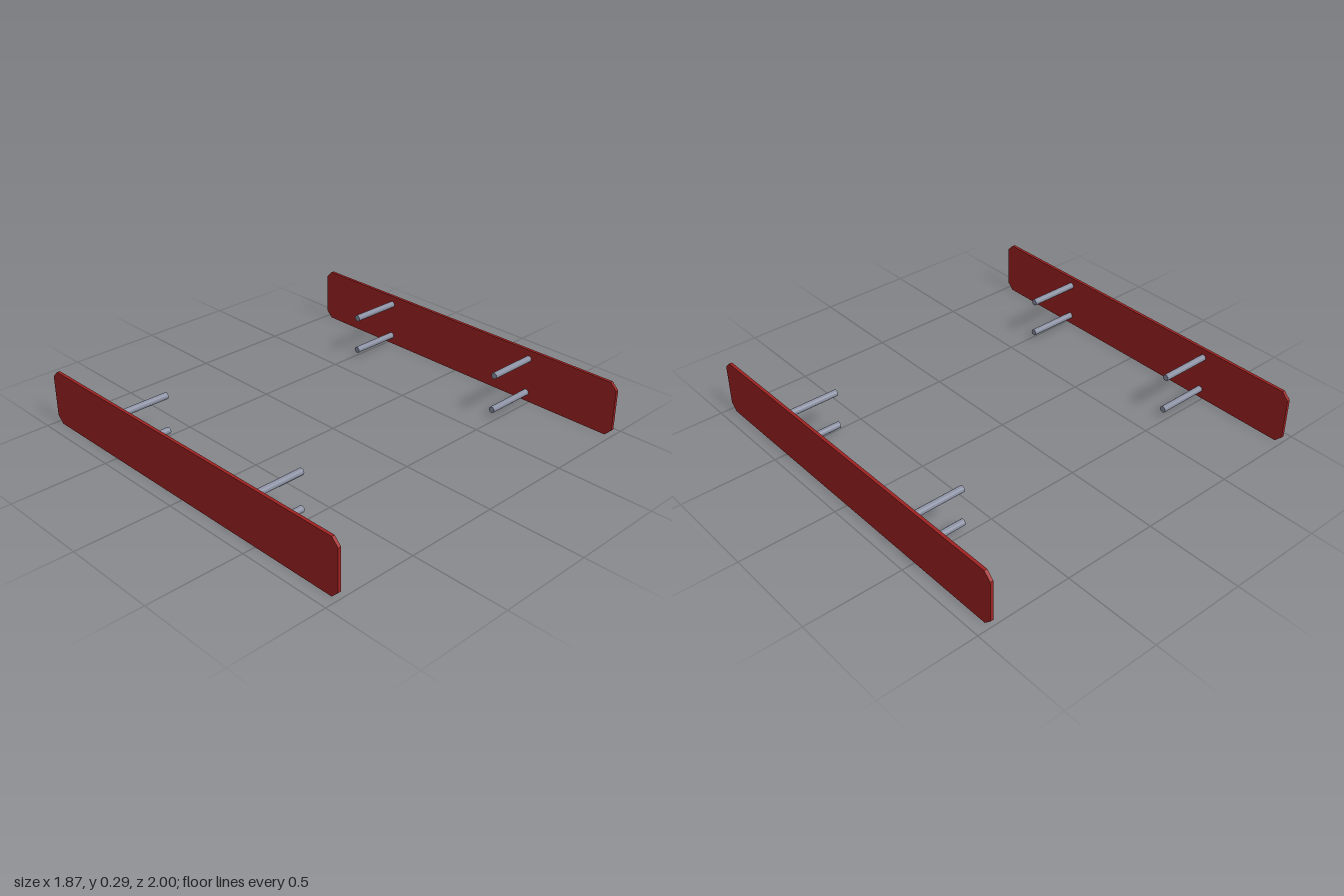
import * as THREE from 'three';

const PANEL = { length: 2, height: 0.287, chamfer: 0.036, inner: 0.917, thickness: 0.016 };
const ROD = { radius: 0.017, tip: 0.642, z: 0.476, y: 0.095 };

// Long plate with clipped corners, lying in the YZ plane
function panelGeometry() {
  const { length, height: h, chamfer: c, thickness } = PANEL;
  const a = length / 2;
  const shape = new THREE.Shape([
    [-a + c, 0], [a - c, 0], [a, c], [a, h - c],
    [a - c, h], [-a + c, h], [-a, h - c], [-a, c],
  ].map(([x, y]) => new THREE.Vector2(x, y)));
  const geometry = new THREE.ExtrudeGeometry(shape, { depth: thickness, bevelEnabled: false });
  geometry.translate(0, 0, -thickness / 2);
  geometry.rotateY(Math.PI / 2);
  return geometry;
}

export function createModel() {
  const model = new THREE.Group();
  const red = new THREE.MeshStandardMaterial({ color: 0xa02222 });
  const steel = new THREE.MeshStandardMaterial({ color: 0x8a90a2, flatShading: true });

  const panelGeo = panelGeometry();
  const rodLength = PANEL.inner - ROD.tip;
  const rodGeo = new THREE.CylinderGeometry(ROD.radius, ROD.radius, rodLength, 12);
  rodGeo.rotateZ(Math.PI / 2);

  for (const side of [1, -1]) {
    const group = new THREE.Group();
    group.name = side > 0 ? 'leftSide' : 'rightSide';

    // Side plate
    const panel = new THREE.Mesh(panelGeo, red);
    panel.name = 'sidePanel';
    panel.position.x = side * (PANEL.inner + PANEL.thickness / 2);
    group.add(panel);

    // Four mounting rods pointing inwards
    for (const z of [-ROD.z, ROD.z]) {
      for (const y of [-ROD.y, ROD.y]) {
        const rod = new THREE.Mesh(rodGeo, steel);
        rod.name = 'mountingRod';
        rod.position.set(side * (ROD.tip + rodLength / 2), PANEL.height / 2 + y, z);
        group.add(rod);
      }
    }
    model.add(group);
  }
  return model;
}
